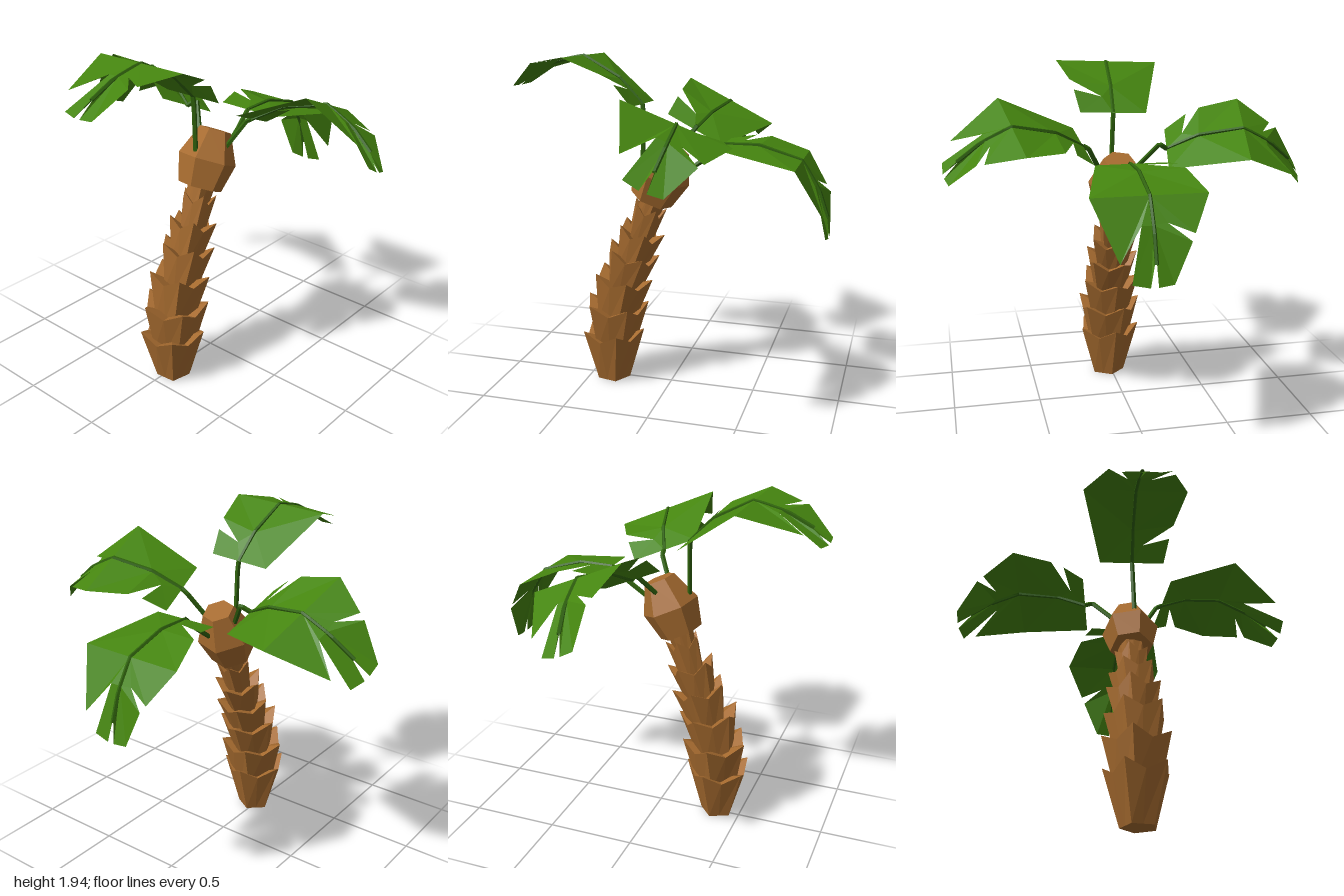
import * as THREE from 'three';

const mat = (color) => new THREE.MeshStandardMaterial({ color, flatShading: true, side: THREE.DoubleSide });
const bark = mat(0xa66b2f), green = mat(0x45850f), stalkGreen = mat(0x2f620c);

function add(parent, name, geometry, material) {
  const mesh = new THREE.Mesh(geometry, material);
  mesh.name = name;
  parent.add(mesh);
  return mesh;
}

// Flared five-sided cup with a jagged rim: corners rise, side middles dip
function cup(rTop, rBottom, height, jag) {
  const g = new THREE.CylinderGeometry(rTop, rBottom, height, 10, 1);
  const p = g.attributes.position;
  for (let i = 0; i < p.count; i++) {
    const x = p.getX(i), y = p.getY(i), z = p.getZ(i);
    if (Math.hypot(x, z) < 1e-4) {
      if (y > 0) p.setY(i, y - jag * 2);
      continue;
    }
    const k = Math.round(Math.atan2(x, z) / (Math.PI / 5));
    const middle = Math.abs(k) % 2 === 1;
    const s = middle ? Math.cos(Math.PI / 5) : 1;
    p.setXYZ(i, x * s, y > 0 ? y + (middle ? -jag : jag) : y, z * s);
  }
  return g;
}

// Leaf point: v to the left, s along the leaf (fold at 0), h above the surface
const FOLD = Math.PI / 6;
const leafPoint = (v, s, h = 0) => new THREE.Vector3(
  v,
  -Math.abs(s) * Math.sin(FOLD) + h * Math.cos(FOLD),
  s * Math.cos(FOLD) + Math.sign(s) * h * Math.sin(FOLD));

// Lobes of the leaf, each a fan around its first point [v, s, h]
const lobes = [
  // base half, right side
  [[0, -0.25, 0.03], [0, -0.44], [-0.19, -0.44], [-0.3, 0], [0, 0]],
  // base half, left side with its notch
  [[0, -0.25, 0.03], [0, 0], [0.3, 0], [0.24, -0.22, 0.05], [0.06, -0.34, 0.03]],
  [[0.06, -0.34, 0.03], [0.22, -0.3, 0.045], [0.19, -0.44], [0, -0.44], [0, -0.25, 0.03]],
  // tip half, left side
  [[0, 0], [0, 0.15, 0.03], [0.07, 0.14, 0.03], [0.2, 0.2, 0.05], [0.3, 0]],
  [[0, 0.15, 0.03], [0, 0.3, 0.035], [0.01, 0.45], [0.09, 0.44], [0.18, 0.24, 0.06], [0.07, 0.14, 0.03]],
  // tip half, right side
  [[0, 0], [-0.3, 0], [-0.18, 0.33, 0.04], [-0.06, 0.15, 0.03], [0, 0.15, 0.03]],
  [[0, 0.15, 0.03], [-0.06, 0.15, 0.03], [-0.12, 0.43], [-0.03, 0.45], [0, 0.3, 0.035]],
];

function leafGeometry() {
  const pts = [];
  for (const lobe of lobes) {
    const p = lobe.map((q) => leafPoint(...q));
    for (let i = 1; i < p.length - 1; i++) {
      const n = p[i].clone().sub(p[0]).cross(p[i + 1].clone().sub(p[0]));
      pts.push(...(n.y > 0 ? [p[0], p[i], p[i + 1]] : [p[0], p[i + 1], p[i]]));
    }
  }
  const g = new THREE.BufferGeometry().setFromPoints(pts);
  g.computeVertexNormals();
  return g;
}

// Round path of straight pieces
function stalk(points, radius) {
  const path = new THREE.CurvePath();
  for (let i = 1; i < points.length; i++) path.add(new THREE.LineCurve3(points[i - 1], points[i]));
  return new THREE.TubeGeometry(path, 16, radius, 5);
}

export function createModel() {
  const model = new THREE.Group();
  model.name = 'palmTree';

  // Trunk: stacked cups [bottom y, bottom z, top y, top z, bottom radius, top radius]
  const trunk = new THREE.Group();
  trunk.name = 'trunk';
  model.add(trunk);
  const up = new THREE.Vector3(0, 1, 0);
  [
    [0.0, 0.36, 0.29, 0.36, 0.1, 0.19],
    [0.2, 0.355, 0.46, 0.34, 0.125, 0.195],
    [0.38, 0.34, 0.635, 0.295, 0.115, 0.178],
    [0.55, 0.3, 0.79, 0.235, 0.1, 0.16],
    [0.7, 0.25, 0.93, 0.18, 0.085, 0.14],
    [0.85, 0.2, 1.07, 0.13, 0.072, 0.1],
    [0.98, 0.16, 1.18, 0.09, 0.06, 0.09],
  ].forEach(([y0, z0, y1, z1, r0, r1], i) => {
    const a = new THREE.Vector3(0.02, y0, z0), b = new THREE.Vector3(0.02, y1, z1);
    const dir = b.clone().sub(a);
    const seg = add(trunk, 'trunkSegment' + (i + 1), cup(r1, r0, dir.length(), 0.028), bark);
    seg.position.copy(a).add(b).multiplyScalar(0.5);
    seg.quaternion.setFromUnitVectors(up, dir.normalize());
    seg.rotateY(Math.PI / 5 + (i % 2 ? 0.35 : 0.1));
  });

  // Faceted crown on top of the trunk
  const profile = [[0, -0.16], [0.125, -0.16], [0.165, 0], [0.09, 0.17], [0, 0.17]];
  const crown = add(model, 'crown',
    new THREE.LatheGeometry(profile.map((p) => new THREE.Vector2(...p)), 6), bark);
  crown.position.set(0.02, 1.275, 0.05);
  crown.rotation.set(-0.42, 0.25, 0, 'XYZ');

  // Leaves: fold position, rotation [pitch, yaw, roll], stalk points
  const rad = THREE.MathUtils.degToRad;
  const geometry = leafGeometry();
  const leaves = [
    ['front', [-0.01, 1.93, 0.52], [-6, -3, 2], [[0.03, 1.36, 0.16], [0.02, 1.62, 0.16]]],
    ['left', [0.63, 1.67, -0.2], [9, 96, -23], [[0.12, 1.36, 0.01], [0.2, 1.51, -0.07]]],
    ['right', [-0.64, 1.62, -0.2], [11, -95, 25], [[-0.08, 1.38, 0], [-0.19, 1.53, -0.1]]],
    ['back', [0.02, 1.4, -0.74], [39, 180, 0], [[0.04, 1.28, -0.06], [0.03, 1.38, -0.2]]],
  ];
  for (const [side, pos, [pitch, yaw, roll], start] of leaves) {
    const leaf = new THREE.Group();
    leaf.name = side + 'Leaf';
    leaf.position.set(...pos);
    leaf.rotation.set(rad(pitch), rad(yaw), rad(roll), 'YXZ');
    leaf.updateMatrix();
    model.add(leaf);
    add(leaf, side + 'Blade', geometry, green);
    // Rib along the middle of the blade
    const rib = [[0, -0.44, 0], [0, -0.25, 0.035], [0, 0, 0], [0, 0.18, 0.035], [0, 0.34, 0.03]]
      .map((q) => leafPoint(...q));
    add(leaf, side + 'Rib', stalk(rib, 0.011), stalkGreen);
    // Stalk from the crown to the blade
    const points = start.map((q) => new THREE.Vector3(...q));
    points.push(rib[0].clone().applyMatrix4(leaf.matrix));
    add(model, side + 'Stalk', stalk(points, 0.014), stalkGreen);
  }
  return model;
}
